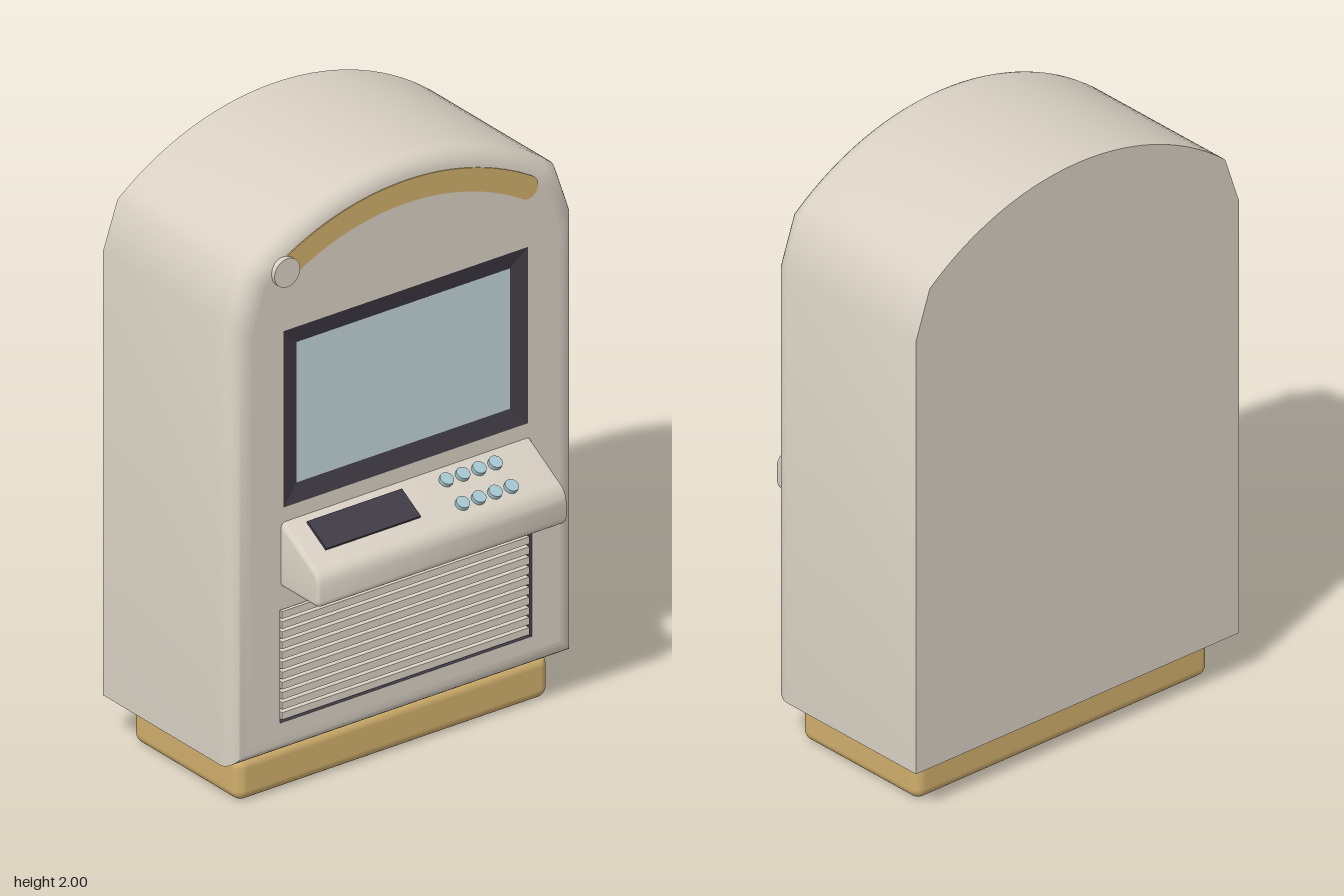
import * as THREE from 'three';
import { toCreasedNormals } from 'three/addons/utils/BufferGeometryUtils.js';
import { RoundedBoxGeometry } from 'three/addons/geometries/RoundedBoxGeometry.js';

const FRONT = 0.228, BACK = -0.418, ROUND = 0.065;

const material = (name, color) => {
  const m = new THREE.MeshStandardMaterial({ color });
  m.name = name;
  return m;
};

// Cabinet outline, counterclockwise, shrunk towards its middle by `inset`
function outline(inset) {
  const pts = [[-0.645, 0.148], [0.645, 0.148], [0.645, 1.63]];
  const R = 0.934, end = Math.asin(0.59 / R), n = 28;
  for (let i = 0; i <= n; i++) {
    const a = end * (1 - (2 * i) / n);
    pts.push([R * Math.sin(a), 2 - R + R * Math.cos(a)]);
  }
  pts.push([-0.645, 1.63]);
  const sx = 1 - inset / 0.645, sy = 1 - inset / 0.926, cy = 1.074;
  return pts.map(([x, y]) => new THREE.Vector2(x * sx, cy + (y - cy) * sy));
}

const rect = (x0, x1, y0, y1) =>
  [[x0, y0], [x1, y0], [x1, y1], [x0, y1]].map(([x, y]) => new THREE.Vector2(x, y));

// Skin between equal-length rings { pts, z }, with an optional cap on the first ring
function loft(rings, crease, cap = false) {
  const n = rings[0].pts.length, pos = [], idx = [];
  for (const { pts, z } of rings) for (const p of pts) pos.push(p.x, p.y, z);
  for (let k = 0; k < rings.length - 1; k++) {
    for (let i = 0; i < n; i++) {
      const a = k * n + i, b = k * n + ((i + 1) % n);
      idx.push(a, b, b + n, a, b + n, a + n);
    }
  }
  if (cap) for (let i = 1; i < n - 1; i++) idx.push(0, i + 1, i);
  const g = new THREE.BufferGeometry();
  g.setAttribute('position', new THREE.Float32BufferAttribute(pos, 3));
  g.setIndex(idx);
  return toCreasedNormals(g, crease);
}

export function createModel() {
  const root = new THREE.Group();
  root.name = 'kiosk';
  const beige = material('warm beige', 0xd8d0c3);
  const gold = material('gold', 0xd0ae6c);
  const dark = material('dark charcoal', 0x403c46);
  const glass = material('pale blue glass', 0xc2d5d9);
  const key = material('blue grey keys', 0xa6c6d0);

  const add = (name, geometry, mat, x = 0, y = 0, z = 0, parent = root) => {
    const m = new THREE.Mesh(geometry, mat);
    m.name = name;
    m.position.set(x, y, z);
    parent.add(m);
    return m;
  };

  // Plinth
  add('plinth', new RoundedBoxGeometry(1.17, 0.145, 0.525, 5, 0.035), gold, 0, 0.0725, -0.093);

  // Cabinet shell with a rounded front edge
  const rings = [{ pts: outline(0), z: BACK }];
  for (let i = 0; i <= 8; i++) {
    const a = (i / 8) * Math.PI / 2;
    rings.push({ pts: outline(ROUND * (1 - Math.cos(a))), z: FRONT - ROUND * (1 - Math.sin(a)) });
  }
  add('cabinet', loft(rings, 0.75, true), beige);

  // Front panel with openings for the screen and the vent
  const screenOuter = rect(-0.458, 0.458, 0.98, 1.57);
  const screenInner = rect(-0.4, 0.4, 1.04, 1.51);
  const ventEdge = rect(-0.472, 0.472, 0.262, 0.64);
  const panel = new THREE.Shape(outline(ROUND));
  panel.holes.push(new THREE.Path(screenOuter), new THREE.Path(ventEdge));
  add('frontPanel', new THREE.ShapeGeometry(panel), beige, 0, 0, FRONT);

  // Screen with its sloping bezel
  const screenZ = FRONT - 0.014;
  add('screenBezel', loft([{ pts: screenOuter, z: FRONT }, { pts: screenInner, z: screenZ }], 0.05), dark);
  add('screen', new THREE.PlaneGeometry(0.8, 0.47), glass, 0, 1.275, screenZ);

  // Vent recess and slats
  add('ventWalls', loft([{ pts: ventEdge, z: FRONT }, { pts: ventEdge, z: FRONT - 0.025 }], 0.05), dark);
  add('ventBack', new THREE.PlaneGeometry(0.944, 0.378), dark, 0, 0.451, FRONT - 0.025);
  const slats = 11, pitch = 0.372 / slats;
  for (let i = 0; i < slats; i++) {
    add('ventSlat', new THREE.BoxGeometry(0.926, 0.024, 0.022), beige,
      0, 0.265 + pitch * (i + 0.5), FRONT - 0.012);
  }

  // Console: side profile (z, y) extruded across the width
  const side = new THREE.Shape();
  side.moveTo(0.19, 0.715);
  side.lineTo(0.39, 0.715);
  side.quadraticCurveTo(0.414, 0.715, 0.414, 0.74);
  side.lineTo(0.414, 0.785);
  side.quadraticCurveTo(0.414, 0.822, 0.382, 0.841);
  side.lineTo(0.23, 0.93);
  side.lineTo(0.19, 0.953);
  const consoleGeo = new THREE.ExtrudeGeometry(side, {
    depth: 0.904, bevelThickness: 0.016, bevelSize: 0.016, bevelOffset: -0.016,
    bevelSegments: 4, curveSegments: 6,
  });
  consoleGeo.translate(0, 0, -0.452);
  consoleGeo.rotateY(-Math.PI / 2);
  add('console', toCreasedNormals(consoleGeo, 0.6), beige);

  // Console controls, laid out on the sloping top
  const slope = new THREE.Group();
  slope.name = 'consoleControls';
  slope.position.set(0, 0.93, 0.23);
  slope.rotation.x = Math.atan2(0.089, 0.152);
  root.add(slope);
  add('consoleDisplay', new THREE.BoxGeometry(0.354, 0.009, 0.108), dark, -0.213, 0.004, 0.079, slope);
  for (const z of [0.045, 0.137]) {
    for (let i = 0; i < 4; i++) {
      add('consoleKey', new THREE.CylinderGeometry(0.022, 0.022, 0.016, 24), key,
        0.118 + i * 0.061, 0.006, z, slope);
    }
  }

  // Curved gold band with round ends
  const r = 0.879, w = 0.038, half = Math.asin(0.455 / r), mid = Math.PI / 2;
  const band = new THREE.Shape();
  band.absarc(0, 0, r + w, mid - half, mid + half, false);
  band.absarc(-r * Math.sin(half), r * Math.cos(half), w, mid + half, mid + half + Math.PI, false);
  band.absarc(0, 0, r - w, mid + half, mid - half, true);
  band.absarc(r * Math.sin(half), r * Math.cos(half), w, mid - half - Math.PI, mid - half, false);
  add('goldBand', new THREE.ExtrudeGeometry(band, { depth: 0.005, bevelEnabled: false, curveSegments: 32 }),
    gold, 0, 1.018, FRONT - 0.002);

  // Round knob at the end of the band
  const knob = new THREE.CylinderGeometry(0.048, 0.048, 0.03, 32);
  knob.rotateX(Math.PI / 2);
  add('knob', knob, beige, -0.455, 1.77, 0.227);

  return root;
}
